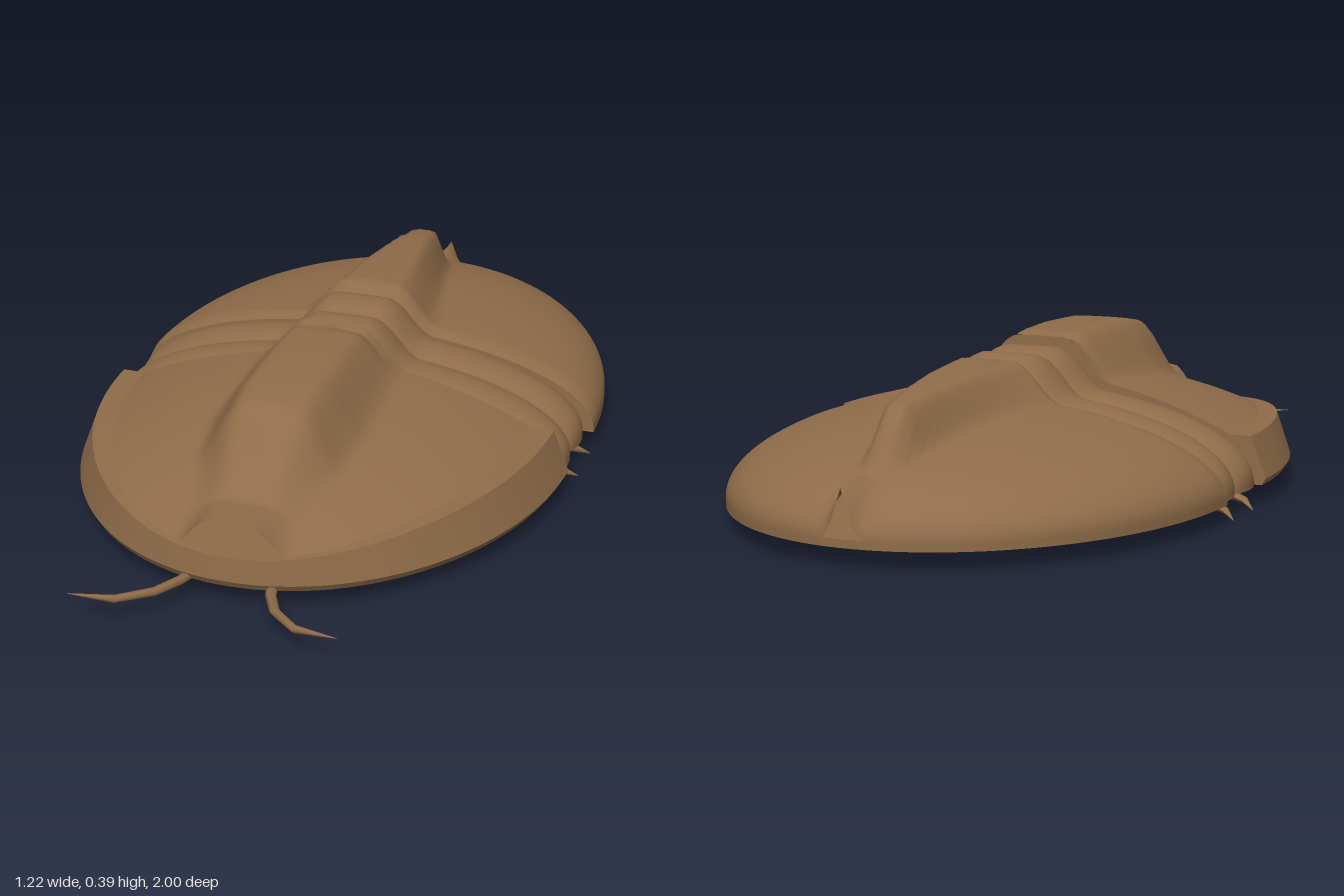
import * as THREE from 'three';

const BASE = 0.045;   // height of the flat underside
const HEAD_Z = 0.05;  // where the head shield meets the thorax
const TAIL_Z = -0.21; // where the tail shield meets the thorax

const smooth = (a, b, t) => THREE.MathUtils.smoothstep(t, a, b);

// Linear lookup in a list of [key, value] pairs with rising keys
function lookup(pairs, k) {
  if (k <= pairs[0][0]) return pairs[0][1];
  for (let i = 1; i < pairs.length; i++) {
    const [k0, v0] = pairs[i - 1], [k1, v1] = pairs[i];
    if (k <= k1) return v0 + (v1 - v0) * (k - k0) / (k1 - k0);
  }
  return pairs[pairs.length - 1][1];
}

// Surface from a function of u, v in 0..1 that returns [x, y, z]
function grid(fn, nu, nv) {
  const pos = [], idx = [];
  for (let i = 0; i <= nu; i++) {
    for (let j = 0; j <= nv; j++) pos.push(...fn(i / nu, j / nv));
  }
  for (let i = 0; i < nu; i++) {
    for (let j = 0; j < nv; j++) {
      const a = i * (nv + 1) + j, b = a + nv + 1;
      idx.push(a, a + 1, b, a + 1, b + 1, b);
    }
  }
  const g = new THREE.BufferGeometry();
  g.setAttribute('position', new THREE.Float32BufferAttribute(pos, 3));
  g.setIndex(idx);
  g.computeVertexNormals();
  return g;
}

// Central lobe: crest height and half width along the body
const CREST = [[-0.86, 0.18], [-0.79, 0.26], [-0.73, 0.32], [-0.62, 0.34], [-0.45, 0.355],
  [-0.25, 0.362], [-0.21, 0.335]];
const HEAD_CREST = [[0.05, 0.378], [0.08, 0.37], [0.11, 0.384], [0.25, 0.387], [0.42, 0.38],
  [0.5, 0.368], [0.53, 0.358], [0.63, 0.255], [0.7, 0.2]];
const LOBE = [[-0.88, 0.03], [-0.75, 0.06], [-0.25, 0.17], [0.1, 0.175], [0.4, 0.185],
  [0.55, 0.17], [0.65, 0.13]];

function withLobe(x, z, dome, domeMid, crest) {
  const t = Math.abs(x) / lookup(LOBE, z);
  return dome + Math.max(0, crest - domeMid) * (1 - smooth(0.4, 1.08, t));
}

// Height rules of the three body regions
const rimY = (s) => 0.165 - 0.045 * s ** 4; // s: 0 at the sides, 1 at the front
function headY(x, z) {
  const s = (z - HEAD_Z) / 0.77;
  const dome = (px) => rimY(s) + 0.12 * Math.max(0, 1 - (px / 0.51) ** 2 - s * s);
  return withLobe(x, z, dome(x), dome(0), lookup(HEAD_CREST, z));
}
const shell = (r2) => 0.065 + 0.205 * Math.sqrt(Math.max(0, 1 - r2));
function tailY(x, z) {
  const s2 = ((z - TAIL_Z) / 0.79) ** 2;
  const lip = 0.012 * (1 - smooth(0, 0.035, TAIL_Z - z));
  return withLobe(x, z, shell((x / 0.605) ** 2 + s2), shell(s2), lookup(CREST, z)) - lip;
}
const bump = (z) => Math.abs(Math.sin(Math.PI * (z - HEAD_Z) / 0.13)) ** 0.6;
const thoraxW = (z) => 0.57 + 0.018 * bump(z);
function thoraxY(x, z) {
  const b = bump(z);
  const drop = 0.02 * (1 - b);
  return withLobe(x, z, shell((x / thoraxW(z)) ** 2) - drop, shell(0) - drop, 0.335 + 0.027 * b);
}

export function createModel() {
  const model = new THREE.Group();
  const brown = new THREE.MeshStandardMaterial({ color: 0x8f6c49, side: THREE.DoubleSide });
  brown.name = 'shell brown';

  const add = (name, geometry, parent = model) => {
    const m = new THREE.Mesh(geometry, brown);
    m.name = name;
    parent.add(m);
    return m;
  };
  const group = (name) => {
    const g = new THREE.Group();
    g.name = name;
    model.add(g);
    return g;
  };

  // Half ellipse band between two [a, b, y] edges; dir is +1 to the front, -1 to the back
  const band = (z0, dir, e0, e1, n = 1) => grid((u, v) => {
    const t = Math.PI * v, s = Math.sin(t);
    const mix = (k) => {
      const p = typeof e0[k] === 'function' ? e0[k](s) : e0[k];
      const q = typeof e1[k] === 'function' ? e1[k](s) : e1[k];
      return p + (q - p) * u;
    };
    return [dir * mix(0) * Math.cos(t), mix(2), z0 + dir * mix(1) * s];
  }, n, 72);

  // Half ellipse dome with a height rule
  const dome = (z0, dir, a, b, height) => grid((u, v) => {
    const r = Math.sin(u * Math.PI / 2), t = Math.PI * v;
    const x = dir * a * r * Math.cos(t), z = z0 + dir * b * r * Math.sin(t);
    return [x, height(x, z), z];
  }, 48, 80);

  // Upright wall that closes the straight edge of a shield
  const wall = (z, a, height, ends) => {
    const pts = ends.map(([x, y]) => new THREE.Vector2(-x, y));
    for (let i = 0; i <= 64; i++) {
      const x = -a * Math.cos(Math.PI * i / 64);
      pts.push(new THREE.Vector2(x, height(x, z)));
    }
    for (const [x, y] of [...ends].reverse()) pts.push(new THREE.Vector2(x, y));
    return new THREE.ShapeGeometry(new THREE.Shape(pts)).translate(0, 0, z);
  };

  // Head shield with its flat-topped rim
  const head = group('headShield');
  add('headDome', dome(HEAD_Z, 1, 0.51, 0.77, headY), head);
  add('headRimTop', band(HEAD_Z, 1, [0.51, 0.77, rimY], [0.565, 0.778, rimY]), head);
  add('headRimSide', band(HEAD_Z, 1, [0.565, 0.778, rimY], [0.605, 0.785, 0.062], 3), head);
  add('headRimEdge', band(HEAD_Z, 1, [0.605, 0.785, 0.062], [0.595, 0.775, BASE]), head);
  add('headUnderside', band(HEAD_Z, 1, [0.595, 0.775, BASE], [0, 0, BASE]), head);
  add('headBackWall', wall(HEAD_Z, 0.51, headY,
    [[0.595, BASE], [0.605, 0.062], [0.565, 0.165]]), head);

  // Ribbed thorax
  const thorax = group('thorax');
  const LEN = HEAD_Z - TAIL_Z;
  add('thoraxRibs', grid((u, v) => {
    const z = HEAD_Z - LEN * u, x = -thoraxW(z) * Math.cos(Math.PI * v);
    return [x, thoraxY(x, z), z];
  }, 40, 80), thorax);
  for (const side of [-1, 1]) {
    add('thoraxSide', grid((u, v) => {
      const z = HEAD_Z - LEN * u, w = side * thoraxW(z);
      return [w, BASE + (thoraxY(w, z) - BASE) * v, z];
    }, 40, 1), thorax);
  }
  add('thoraxUnderside', grid((u, v) => {
    const z = HEAD_Z - LEN * u;
    return [thoraxW(z) * (2 * v - 1), BASE, z];
  }, 40, 1), thorax);

  // Tail shield
  const tail = group('tailShield');
  add('tailDome', dome(TAIL_Z, -1, 0.605, 0.79, tailY), tail);
  add('tailEdge', band(TAIL_Z, -1, [0.605, 0.79, 0.065], [0.605, 0.79, BASE]), tail);
  add('tailUnderside', band(TAIL_Z, -1, [0.605, 0.79, BASE], [0, 0, BASE]), tail);
  add('tailFrontWall', wall(TAIL_Z, 0.605, tailY, [[0.605, BASE]]), tail);

  // Tapered six-sided limb through [x, y, z, radius] points
  const limb = (pts, side) => {
    const dirs = pts.map((p, i) => {
      const a = pts[Math.max(0, i - 1)], b = pts[Math.min(pts.length - 1, i + 1)];
      return new THREE.Vector3(b[0] - a[0], b[1] - a[1], b[2] - a[2]).normalize();
    });
    return grid((u, v) => {
      const i = Math.round(u * (pts.length - 1)), [x, y, z, r] = pts[i];
      const across = new THREE.Vector3(0, 1, 0).cross(dirs[i]).normalize();
      const up = dirs[i].clone().cross(across);
      const t = 2 * Math.PI * v;
      const o = across.multiplyScalar(r * Math.cos(t)).addScaledVector(up, r * 0.8 * Math.sin(t));
      return [side * (x + o.x), y + o.y, z + o.z];
    }, pts.length - 1, 6);
  };

  // Antennae and leg tips, mirrored
  for (const side of [-1, 1]) {
    const label = side > 0 ? 'left' : 'right';
    add(label + 'Antenna', limb([[0.09, 0.045, 0.76, 0.001], [0.092, 0.046, 0.765, 0.014],
      [0.11, 0.049, 0.84, 0.013], [0.145, 0.051, 0.91, 0.012], [0.215, 0.056, 0.978, 0.011],
      [0.32, 0.062, 0.998, 0.001]], side));
    for (const z of [0, -0.13]) {
      add(label + 'Leg', limb([[0.474, 0.03, z - 0.01, 0.001], [0.475, 0.03, z - 0.01, 0.014],
        [0.55, 0.028, z - 0.016, 0.014], [0.58, 0.02, z - 0.025, 0.01],
        [0.608, 0.002, z - 0.045, 0.001]], side));
    }
  }
  return model;
}
